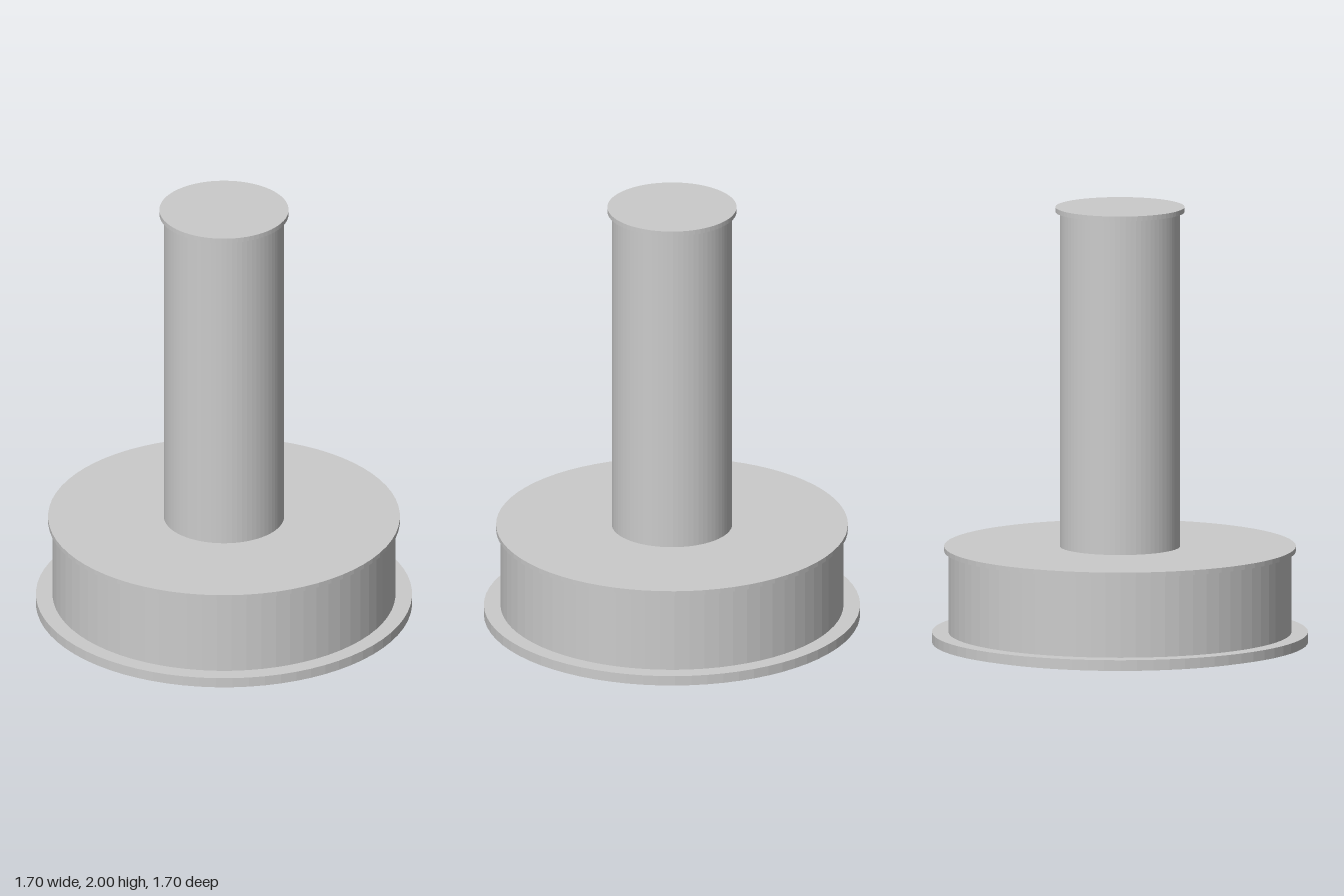
import * as THREE from 'three';

const SIDES = 72;

export function createModel() {
  const model = new THREE.Group();
  const material = new THREE.MeshStandardMaterial({ color: 0xcccccc, flatShading: true });

  const add = (name, geometry) => {
    const mesh = new THREE.Mesh(geometry, material);
    mesh.name = name;
    model.add(mesh);
    return mesh;
  };

  const disc = (name, radius, bottom, top) => {
    const mesh = add(name, new THREE.CylinderGeometry(radius, radius, top - bottom, SIDES));
    mesh.position.y = (bottom + top) / 2;
  };

  // Stacked round parts, from the ground up
  disc('baseFlange', 0.85, 0.012, 0.058);
  disc('drum', 0.775, 0.058, 0.428);
  disc('drumLid', 0.795, 0.428, 0.45);
  disc('column', 0.272, 0.45, 1.978);
  disc('columnCap', 0.292, 1.978, 2);

  // Foot plate in three sectors, parted by narrow radial grooves
  const radius = 0.79, halfGap = 0.004;
  const seams = [22, 160, 272, 382].map(THREE.MathUtils.degToRad);
  for (let i = 0; i < 3; i++) {
    const from = seams[i], to = seams[i + 1];
    const middle = (from + to) / 2;
    const apex = halfGap / Math.sin((to - from) / 2);
    const trim = Math.asin(halfGap / radius);
    const shape = new THREE.Shape();
    shape.moveTo(apex * Math.cos(middle), apex * Math.sin(middle));
    shape.absarc(0, 0, radius, from + trim, to - trim, false);
    shape.closePath();
    const sector = add('footSector' + (i + 1), new THREE.ExtrudeGeometry(shape, {
      depth: 0.012, bevelEnabled: false, curveSegments: 28,
    }));
    sector.rotation.x = Math.PI / 2;
    sector.position.y = 0.012;
  }

  return model;
}
